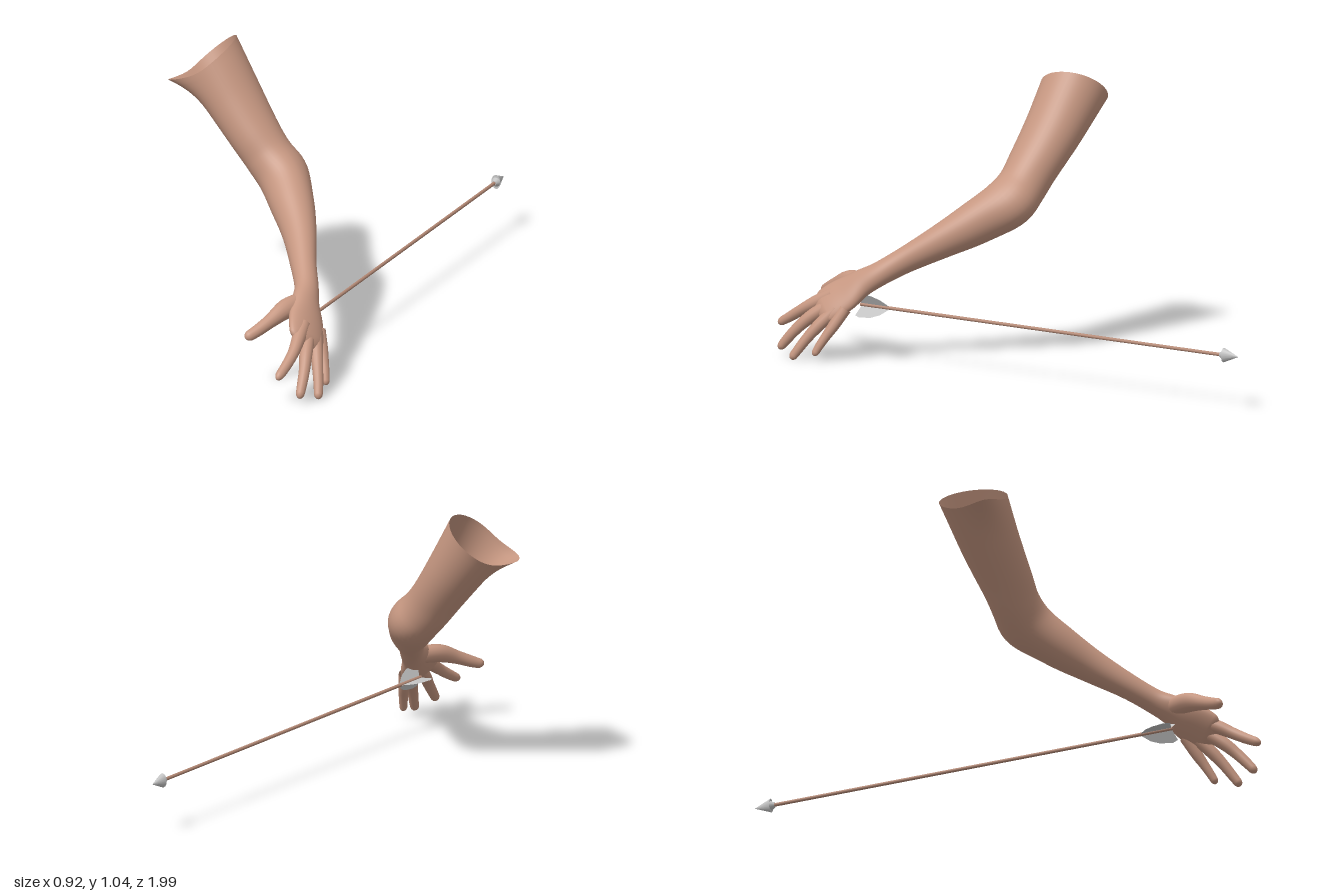
import * as THREE from 'three';

const skin = new THREE.MeshStandardMaterial({ color: 0xc69781, side: THREE.DoubleSide });
skin.name = 'skin';
const wood = new THREE.MeshStandardMaterial({ color: 0xb58a76 });
wood.name = 'shaft wood';
const grey = new THREE.MeshStandardMaterial({ color: 0xc4c4c4, side: THREE.DoubleSide });
grey.name = 'grey';

// Smooth limb through stations [x, y, z, a, b]: a towards the back of the hand, b across it.
// The end is rounded from u = capStart on; adjust may move each point.
function limb(name, stations, rows, sides, capStart, adjust) {
  const path = new THREE.CatmullRomCurve3(stations.map(s => new THREE.Vector3(s[0], s[1], s[2])), false, 'catmullrom');
  const radii = new THREE.CatmullRomCurve3(stations.map(s => new THREE.Vector3(s[3], s[4], 0)), false, 'catmullrom');
  const ref = new THREE.Vector3(0.8, 0.55, 0.15);
  const pos = [], index = [];
  for (let i = 0; i <= rows; i++) {
    // rows crowd towards the rounded end
    const v = i / rows;
    const u = v < 0.7 ? v / 0.7 * capStart : capStart + (1 - capStart) * Math.sin((v - 0.7) / 0.3 * Math.PI / 2);
    const c = path.getPoint(u), t = path.getTangent(u), r = radii.getPoint(u);
    const A = ref.clone().addScaledVector(t, -ref.dot(t)).normalize();
    const B = t.clone().cross(A);
    const k = u > capStart ? Math.sqrt(Math.max(0, 1 - ((u - capStart) / (1 - capStart)) ** 2)) : 1;
    for (let j = 0; j < sides; j++) {
      const q = j / sides * Math.PI * 2;
      const p = c.clone().addScaledVector(A, r.x * k * Math.cos(q)).addScaledVector(B, r.y * k * Math.sin(q));
      if (adjust) adjust(p, u, q, t, B);
      pos.push(p.x, p.y, p.z);
      if (i < rows) {
        const a = i * sides + j, b = i * sides + (j + 1) % sides;
        index.push(a, b, a + sides, b, b + sides, a + sides);
      }
    }
  }
  const g = new THREE.BufferGeometry();
  g.setAttribute('position', new THREE.Float32BufferAttribute(pos, 3));
  g.setIndex(index);
  g.computeVertexNormals();
  const m = new THREE.Mesh(g, skin);
  m.name = name;
  return m;
}

export function createModel() {
  const model = new THREE.Group();
  model.name = 'armAndArrow';

  // Open upper arm, elbow, forearm, wrist and palm in one skin
  const armStations = [
    [-0.345, 0.955, 0.155, 0.122, 0.122],
    [-0.24, 0.82, 0.175, 0.103, 0.112],
    [-0.15, 0.71, 0.195, 0.092, 0.1],
    [-0.08, 0.63, 0.21, 0.09, 0.088],
    [-0.01, 0.57, 0.24, 0.092, 0.084],
    [0.065, 0.505, 0.315, 0.083, 0.077],
    [0.14, 0.44, 0.41, 0.066, 0.06],
    [0.21, 0.37, 0.52, 0.05, 0.046],
    [0.262, 0.317, 0.6, 0.042, 0.046],
    [0.288, 0.28, 0.66, 0.038, 0.058],
    [0.314, 0.24, 0.71, 0.034, 0.076],
    [0.34, 0.205, 0.76, 0.029, 0.08],
    [0.362, 0.17, 0.805, 0.021, 0.07],
  ];
  model.add(limb('arm', armStations, 90, 40, 0.94, (p, u, q, t, B) => {
    const s = u * 12;
    // elbow point at the back
    if (Math.sin(q) < 0) p.addScaledVector(B, 0.026 * Math.sin(q) * Math.exp(-((s - 3.7) ** 2) / 0.5));
    // slanted rim with a flared corner
    const rim = Math.max(0, 1 - s);
    p.addScaledVector(t, 0.035 * rim * Math.sin(q));
    const corner = Math.max(0, Math.cos(q - 2.35)) ** 6 * rim ** 3;
    p.x -= 0.055 * corner;
    p.z += 0.025 * corner;
  }));

  // Thumb and fingers
  const digits = {
    thumb: [[0.275, 0.285, 0.67, 0.03, 0.036], [0.247, 0.277, 0.745, 0.03, 0.036],
      [0.22, 0.25, 0.815, 0.024, 0.026], [0.192, 0.225, 0.87, 0.02, 0.022], [0.167, 0.208, 0.912, 0.014, 0.018]],
    indexFinger: [[0.325, 0.235, 0.755, 0.026, 0.028], [0.338, 0.2, 0.825, 0.024, 0.025],
      [0.345, 0.168, 0.88, 0.021, 0.021], [0.342, 0.135, 0.935, 0.018, 0.019], [0.335, 0.103, 0.993, 0.014, 0.016]],
    middleFinger: [[0.345, 0.205, 0.75, 0.024, 0.026], [0.37, 0.152, 0.825, 0.024, 0.024],
      [0.387, 0.108, 0.872, 0.02, 0.021], [0.396, 0.066, 0.91, 0.018, 0.019], [0.402, 0.024, 0.945, 0.014, 0.016]],
    ringFinger: [[0.358, 0.19, 0.72, 0.023, 0.025], [0.39, 0.13, 0.775, 0.022, 0.023],
      [0.412, 0.082, 0.812, 0.019, 0.02], [0.428, 0.04, 0.84, 0.017, 0.018], [0.44, 0.001, 0.866, 0.014, 0.016]],
    littleFinger: [[0.355, 0.195, 0.685, 0.022, 0.025], [0.382, 0.135, 0.715, 0.02, 0.022],
      [0.401, 0.093, 0.738, 0.017, 0.018], [0.415, 0.058, 0.757, 0.015, 0.016], [0.427, 0.022, 0.775, 0.012, 0.014]],
  };
  for (const [name, stations] of Object.entries(digits)) model.add(limb(name, stations, 30, 16, 0.9));

  // Arrow pointing to the back
  const arrow = new THREE.Group();
  arrow.name = 'arrow';
  arrow.position.set(0.275, 0.2, 0);
  const shaft = new THREE.Mesh(new THREE.CylinderGeometry(0.0065, 0.0065, 1.6, 12).rotateX(Math.PI / 2), wood);
  shaft.name = 'shaft';
  shaft.position.z = -0.13;
  const head = new THREE.Mesh(new THREE.ConeGeometry(0.027, 0.065, 16).rotateX(-Math.PI / 2), grey);
  head.name = 'arrowHead';
  head.scale.x = 0.67;
  head.position.z = -0.9675;
  const socket = new THREE.Mesh(new THREE.CylinderGeometry(0.018, 0.009, 0.016, 16).rotateX(-Math.PI / 2), grey);
  socket.name = 'headSocket';
  socket.position.z = -0.928;
  arrow.add(shaft, head, socket);

  // Three thin feather vanes at the tail
  const vane = new THREE.Shape([[0.54, 0.004], [0.575, 0.032], [0.61, 0.046], [0.66, 0.052], [0.68, 0.045], [0.665, 0.004]]
    .map(p => new THREE.Vector2(...p)));
  const vaneGeometry = new THREE.ShapeGeometry(vane).rotateY(-Math.PI / 2);
  for (let i = 0; i < 3; i++) {
    const fin = new THREE.Mesh(vaneGeometry, grey);
    fin.name = 'vane' + (i + 1);
    fin.rotation.z = Math.PI / 2 + i * Math.PI * 2 / 3;
    arrow.add(fin);
  }
  model.add(arrow);
  return model;
}
